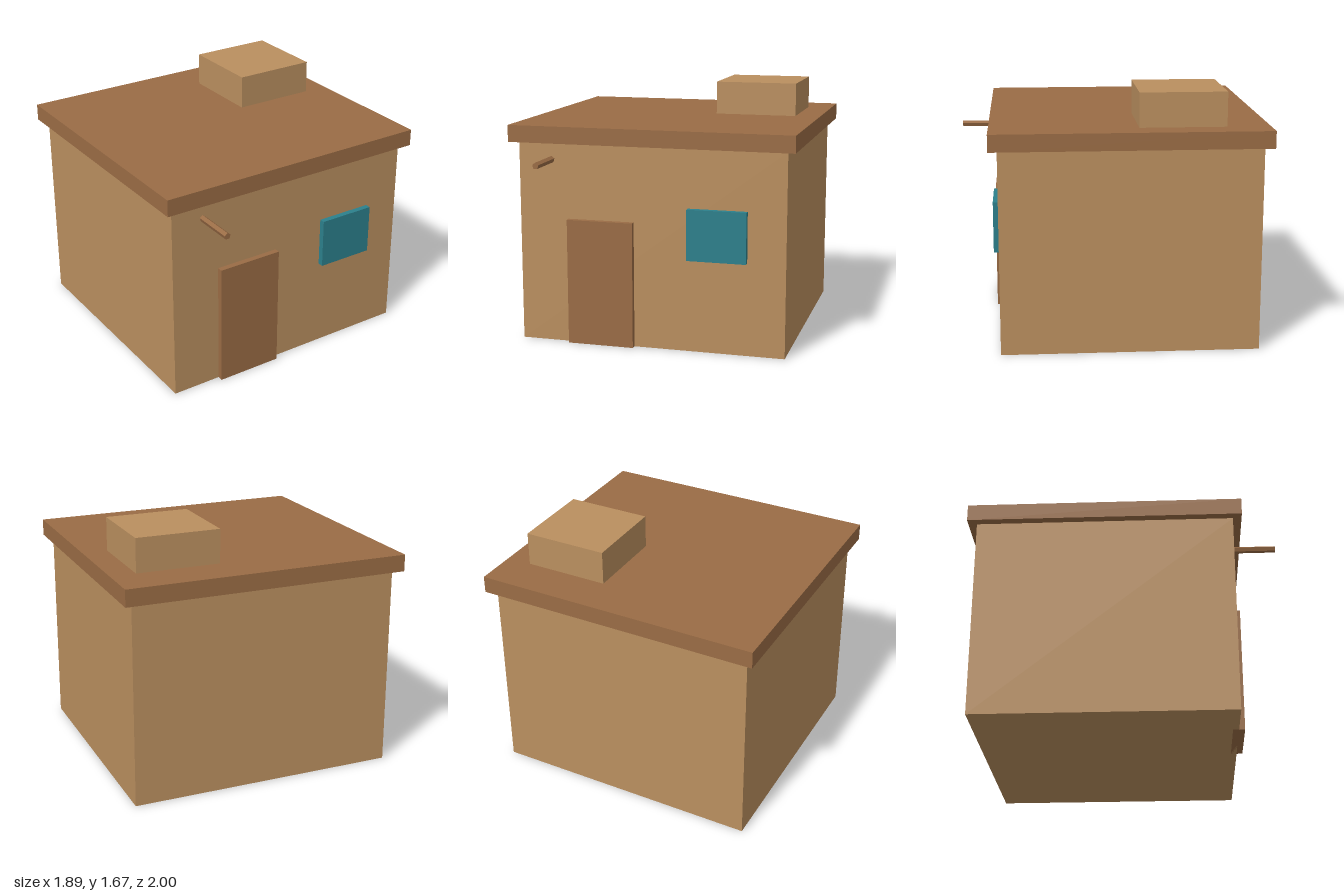
import * as THREE from 'three';

const U = 1 / 9; // layout module

const adobe = new THREE.MeshStandardMaterial({ name: 'adobe', color: 0xba8f5f });
const wood = new THREE.MeshStandardMaterial({ name: 'wood', color: 0x9a6c45 });
const teal = new THREE.MeshStandardMaterial({ name: 'teal', color: 0x2c808c });
[adobe, wood, teal].forEach((m) => { m.flatShading = true; });

export function createModel() {
  const house = new THREE.Group();
  house.name = 'house';

  // Box given by size, with its base centred at x, y, z (in modules)
  const box = (name, material, [w, h, d], [x, y, z]) => {
    const mesh = new THREE.Mesh(new THREE.BoxGeometry(w * U, h * U, d * U), material);
    mesh.position.set(x * U, (y + h / 2) * U, z * U);
    mesh.name = name;
    house.add(mesh);
  };

  // Body and overhanging flat roof
  box('walls', adobe, [16, 12, 15], [0, 0, -1]);
  box('roof', wood, [17, 1, 16], [0, 12, -1]);
  box('rooftopBlock', adobe, [5, 2, 5], [4.5, 13, -4]);

  // Door and window standing out from the front wall
  box('door', wood, [4, 7.5, 0.68], [-3, 0, 6.5]);
  box('window', teal, [3.5, 3, 0.68], [4, 5.5, 6.5]);

  // Five-sided beam sticking out under the roof
  const beam = new THREE.Mesh(new THREE.CylinderGeometry(0.022, 0.022, 3 * U, 5), wood);
  beam.name = 'beam';
  beam.rotation.x = -Math.PI / 2;
  beam.position.set(-6 * U, 11 * U, 7.5 * U);
  house.add(beam);

  return house;
}
